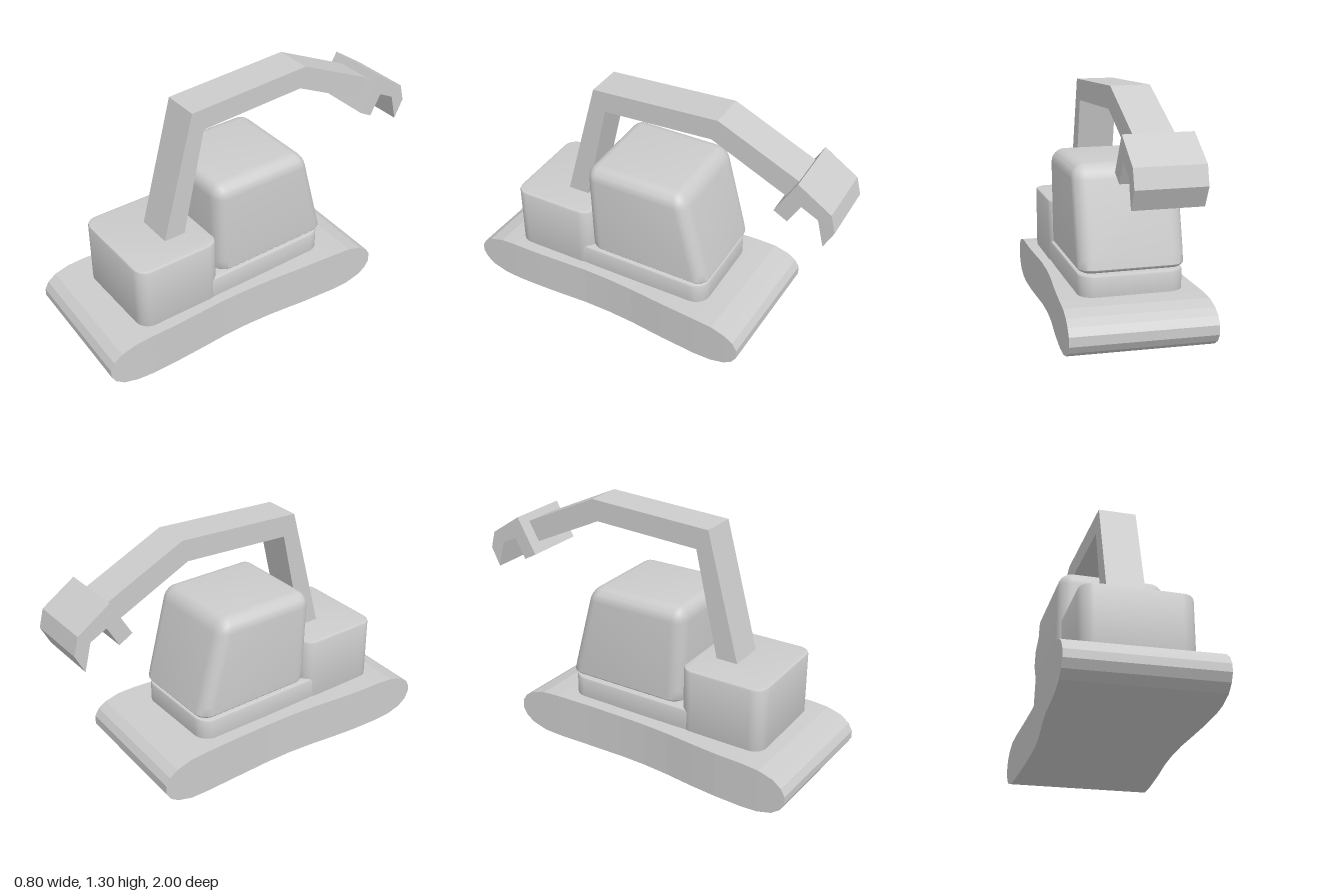
import * as THREE from 'three';
import { RoundedBoxGeometry } from 'three/addons/geometries/RoundedBoxGeometry.js';
import { toCreasedNormals } from 'three/addons/utils/BufferGeometryUtils.js';

const grey = new THREE.MeshStandardMaterial({ color: 0xcccccc });
const flatGrey = new THREE.MeshStandardMaterial({ color: 0xcccccc, flatShading: true });

function part(name, geometry, material = grey) {
  const mesh = new THREE.Mesh(geometry, material);
  mesh.name = name;
  return mesh;
}

// Moves every vertex of a geometry by a rule
function reshape(geometry, rule) {
  const p = geometry.attributes.position;
  const v = new THREE.Vector3();
  for (let i = 0; i < p.count; i++) {
    rule(v.fromBufferAttribute(p, i));
    p.setXYZ(i, v.x, v.y, v.z);
  }
  geometry.computeVertexNormals();
  return geometry;
}

// Side profile of [z, y] points, extruded from x0 to x1
function sideProfile(points, x0, x1) {
  const shape = new THREE.Shape(points.map(([z, y]) => new THREE.Vector2(z, y)));
  return new THREE.ExtrudeGeometry(shape, { depth: x1 - x0, bevelEnabled: false })
    .rotateY(-Math.PI / 2).translate(x1, 0, 0);
}

// Upright block with rounded plan corners and a slightly bevelled rim
function roundedBlock(x0, x1, y0, y1, z0, z1, r) {
  const b = 0.012;
  const [l, n, f, k] = [x0 + b, x1 - b, -z1 + b, -z0 - b];
  const s = new THREE.Shape();
  s.moveTo(l + r, f);
  s.lineTo(n - r, f).absarc(n - r, f + r, r, -Math.PI / 2, 0);
  s.lineTo(n, k - r).absarc(n - r, k - r, r, 0, Math.PI / 2);
  s.lineTo(l + r, k).absarc(l + r, k - r, r, Math.PI / 2, Math.PI);
  s.lineTo(l, f + r).absarc(l + r, f + r, r, Math.PI, Math.PI * 1.5);
  const g = new THREE.ExtrudeGeometry(s, {
    depth: y1 - y0 - 2 * b, bevelSize: b, bevelThickness: b, bevelSegments: 2, curveSegments: 5,
  });
  return toCreasedNormals(g.rotateX(-Math.PI / 2).translate(0, y0 + b, 0), 0.6);
}

// Track base: cross-sections [z, half height, left x, right x] along its length
function trackGeometry() {
  const stations = [
    [-0.65, 0.025, -0.35, 0.4], [-0.625, 0.065, -0.35, 0.4], [-0.58, 0.095, -0.35, 0.398],
    [-0.5, 0.118, -0.35, 0.394], [-0.4, 0.123, -0.348, 0.389], [-0.2, 0.123, -0.343, 0.372],
    [0, 0.121, -0.341, 0.35], [0.15, 0.121, -0.344, 0.34], [0.3, 0.122, -0.356, 0.337],
    [0.45, 0.123, -0.374, 0.343], [0.6, 0.123, -0.388, 0.348], [0.75, 0.123, -0.394, 0.348],
    [0.84, 0.117, -0.397, 0.345], [0.92, 0.094, -0.399, 0.343], [0.965, 0.06, -0.4, 0.341],
    [0.987, 0.02, -0.4, 0.34],
  ];
  const n = stations.length - 1;
  return reshape(new THREE.BoxGeometry(1, 2, 1, 1, 1, n), (v) => {
    const [z, h, left, right] = stations[Math.round((v.z + 0.5) * n)];
    v.x = v.x < 0 ? left : right;
    v.y = 0.127 + v.y * h;
    v.z = z + 0.037 * v.x;
  });
}

// Cab: rounded box with a sloping rear wall and a tighter lower rim
function cabGeometry() {
  const height = 0.535, r = 0.075;
  const box = new RoundedBoxGeometry(0.56, height, 0.7, 4, r);
  const g = reshape(box, (v) => {
    const low = -height / 2 + r;
    if (v.y < low) v.y = -height / 2 + Math.max(0, (v.y + height / 2) * 0.45);
    const t = (v.y + height / 2) / height;
    const back = -0.392 + 0.145 * t, front = 0.303 + 0.012 * t;
    v.z = back + (v.z / 0.7 + 0.5) * (front - back);
    v.x += 0.005;
    v.y += 0.365 + height / 2;
  });
  return toCreasedNormals(g, 0.6);
}

export function createModel() {
  const model = new THREE.Group();
  model.name = 'excavator';

  model.add(part('trackBase', trackGeometry(), flatGrey));

  // Deck under the cab and the taller engine housing
  model.add(part('deck', roundedBlock(-0.27, 0.28, 0.2, 0.362, -0.378, 0.72, 0.07)));
  model.add(part('engineHousing', roundedBlock(-0.275, 0.285, 0.2, 0.592, 0.3, 0.77, 0.06)));
  model.add(part('cab', cabGeometry()));

  // Bent arm reaching over the cab
  model.add(part('boom', sideProfile([
    [0.535, 0.55], [0.34, 1.265], [-0.35, 1.3], [-0.79, 1.095],
    [-0.72, 0.995], [-0.32, 1.185], [0.275, 1.155], [0.415, 0.55],
  ], -0.08, 0.12), flatGrey));

  // Open-sided scoop at the end of the arm
  model.add(part('bucket', sideProfile([
    [-0.8, 1.137], [-0.975, 1.02], [-1, 0.925], [-0.95, 0.825],
    [-0.913, 0.97], [-0.825, 1.015], [-0.763, 0.905], [-0.69, 0.945],
  ], -0.15, 0.19), flatGrey));

  return model;
}
